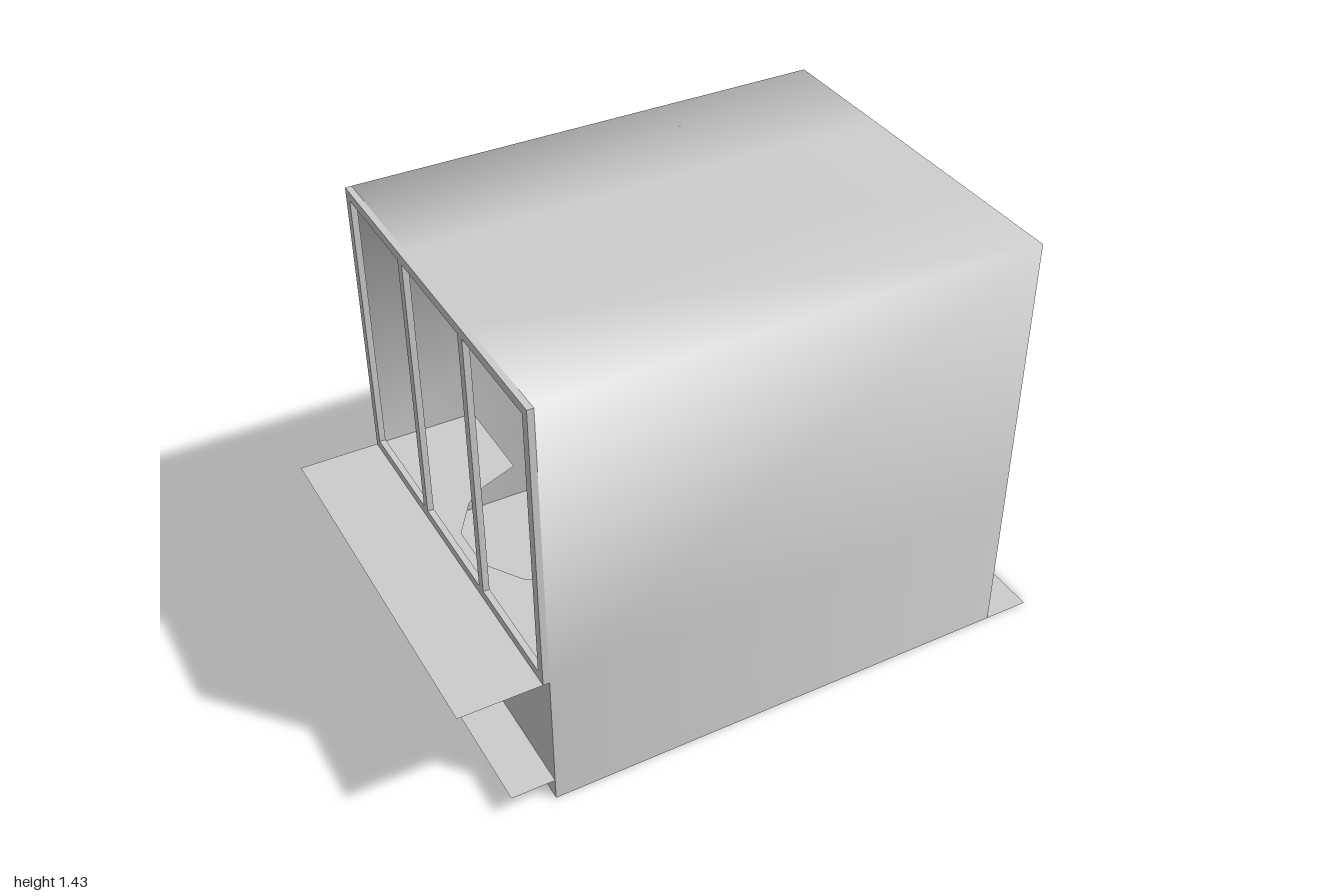
import * as THREE from 'three';

const X0 = -0.72, X1 = 0.85, Z = 0.62, ZI = 0.207, SILL = 0.477, H = 1.43;

// Collects quads of [position, normal] corners and turns them into a smooth-shaded sheet
class Sheet {
  constructor() { this.pos = []; this.nor = []; }
  tri(a, b, c) {
    const [p, q, r] = [a, b, c].map((v) => new THREE.Vector3(...v.p));
    const face = q.clone().sub(p).cross(r.clone().sub(p));
    const mean = new THREE.Vector3();
    for (const v of [a, b, c]) mean.add(v.n);
    const order = face.dot(mean) < 0 ? [a, c, b] : [a, b, c];
    for (const v of order) { this.pos.push(...v.p); this.nor.push(v.n.x, v.n.y, v.n.z); }
  }
  quad(a, b, c, d) { this.tri(a, b, c); this.tri(a, c, d); }
  mesh(name, material) {
    const g = new THREE.BufferGeometry();
    g.setAttribute('position', new THREE.Float32BufferAttribute(this.pos, 3));
    g.setAttribute('normal', new THREE.Float32BufferAttribute(this.nor, 3));
    return named(new THREE.Mesh(g, material), name);
  }
}

function named(object, name) { object.name = name; return object; }

function corner(p, nx, ny, nz) {
  return { p, n: new THREE.Vector3(nx, ny, nz).normalize() };
}

// Shell: roof and three walls sharing blended normals along their common edges
function makeShell(material) {
  const sheet = new Sheet();
  const flags = ([x, y, z]) => [x === X1 ? 1 : 0, y === H ? 1 : 0, Math.abs(z) === Z ? Math.sign(z) : 0];
  const rank = (p) => flags(p).reduce((s, f) => s + Math.abs(f), 0);
  const patch = (...pts) => {
    // the diagonal starts at the corner where most faces meet
    let top = 0;
    pts.forEach((p, i) => { if (rank(p) > rank(pts[top])) top = i; });
    const q = [0, 1, 2, 3].map((i) => pts[(i + top) % 4]).map((p) => corner(p, ...flags(p)));
    sheet.quad(...q);
  };
  const cols = [-Z, -ZI, ZI, Z], rows = [0, SILL, H];
  for (let i = 0; i < 3; i++) {
    const a = cols[i], b = cols[i + 1];
    patch([X0, H, a], [X1, H, a], [X1, H, b], [X0, H, b]);
    for (let j = 0; j < 2; j++) {
      patch([X1, rows[j], a], [X1, rows[j], b], [X1, rows[j + 1], b], [X1, rows[j + 1], a]);
    }
  }
  for (const z of [-Z, Z]) {
    for (let j = 0; j < 2; j++) {
      patch([X0, rows[j], z], [X1, rows[j], z], [X1, rows[j + 1], z], [X0, rows[j + 1], z]);
    }
  }
  return sheet.mesh('shell', material);
}

// Horizontal sheet from an outline of [x, z] points
function makePlate(name, outline, y, material) {
  const shape = new THREE.Shape(outline.map(([x, z]) => new THREE.Vector2(x, -z)));
  const g = new THREE.ShapeGeometry(shape).rotateX(-Math.PI / 2).translate(0, y, 0);
  return named(new THREE.Mesh(g, material), name);
}

// Entrance: floor sheet with a flared block that ends in a flat face at x = 1
function makeEntrance(name, material) {
  const group = named(new THREE.Group(), name);
  const h = 0.335, w = 0.138;
  const profile = [[1, w], [0.95, w], [0.915, 0.142], [0.885, 0.157], [0.862, 0.18], [0.85, 0.205]];
  const slope = profile.map((p, i) => {
    const a = profile[Math.max(i - 1, 0)], b = profile[Math.min(i + 1, profile.length - 1)];
    return new THREE.Vector2(b[1] - a[1], a[0] - b[0]).normalize();
  });
  const sheet = new Sheet();
  const at = (i, s, y) => corner([profile[i][0], y, s * profile[i][1]], slope[i].x, y > 0 ? 1 : 0, s * slope[i].y);
  for (let i = 0; i < profile.length - 1; i++) {
    for (const s of [-1, 1]) {
      sheet.quad(at(i, s, 0), at(i + 1, s, 0), at(i + 1, s, h), at(i, s, h));
    }
    sheet.quad(at(i, -1, h), at(i + 1, -1, h), at(i + 1, 1, h), at(i, 1, h));
  }
  group.add(sheet.mesh('flaredBlock', material));

  const end = new THREE.Mesh(new THREE.PlaneGeometry(2 * w, h), material);
  end.rotation.y = Math.PI / 2;
  end.position.set(1, h / 2, 0);
  group.add(named(end, 'endFace'));
  group.add(makePlate('floor', [[0.02, -Z], [1, -Z], [1, Z], [0.02, Z]], 0, material));
  return group;
}

// Three-bay window frame
function makeWindow(material) {
  const group = named(new THREE.Group(), 'windowFrame');
  const t = 0.03, d = 0.02, x = X0 - d / 2;
  const bar = (name, h, w, y, z) => {
    const m = named(new THREE.Mesh(new THREE.BoxGeometry(d, h, w), material), name);
    m.position.set(x, y, z);
    group.add(m);
  };
  for (const z of [-Z + t / 2, -ZI, ZI, Z - t / 2]) bar('mullion', H - SILL, t, (H + SILL) / 2, z);
  for (const y of [SILL + t / 2, H - t / 2]) bar('rail', t, 2 * Z, y, 0);
  return group;
}

export function createModel() {
  const model = named(new THREE.Group(), 'building');
  const grey = new THREE.MeshStandardMaterial({ color: 0xcccccc, side: THREE.DoubleSide });
  grey.name = 'lightGrey';

  model.add(makeShell(grey), makeWindow(grey));

  // Low wall under the window
  const wall = new THREE.Mesh(new THREE.PlaneGeometry(2 * Z, SILL), grey);
  wall.rotation.y = -Math.PI / 2;
  wall.position.set(X0, SILL / 2, 0);
  model.add(named(wall, 'lowWall'));

  // Window ledge, running a little way indoors around a curved recess
  const recess = [[-0.4, 0.3], [-0.53, 0.25], [-0.6, 0.2], [-0.68, 0.08]];
  const inner = [...recess, ...recess.map(([x, z]) => [x, -z]).reverse()];
  model.add(makePlate('ledge', [[-1, -Z], [-1, Z], [-0.4, Z], ...inner, [-0.4, -Z]], SILL, grey));

  // Entrances at both ends, the second one raised and turned round
  const side = makeEntrance('sideEntrance', grey);
  const windowSide = makeEntrance('windowSideEntrance', grey);
  windowSide.rotation.y = Math.PI;
  windowSide.position.set(0.14, 0.075, 0);
  model.add(side, windowSide);
  return model;
}
